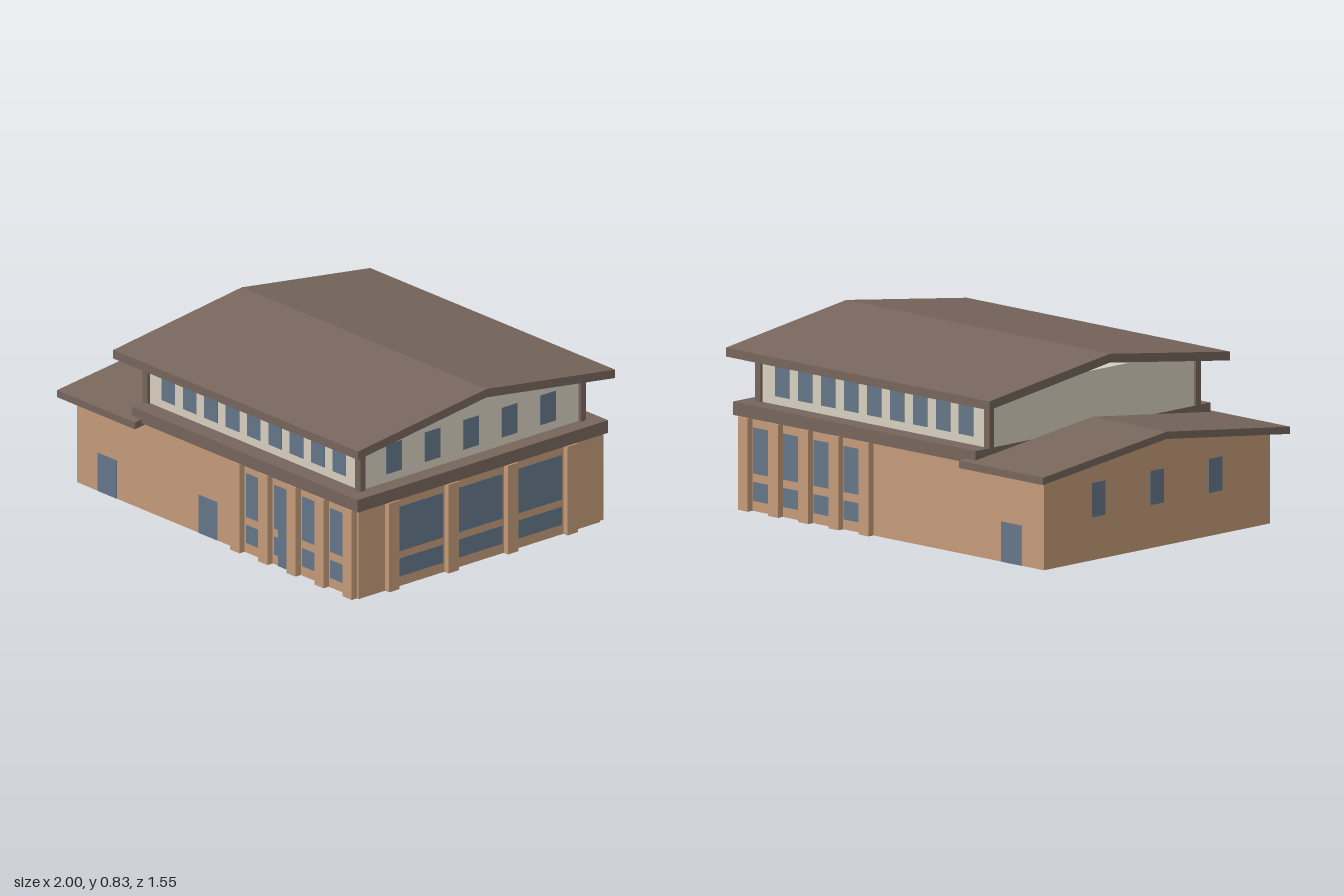
import * as THREE from 'three';

export function createModel() {
  const model = new THREE.Group();
  model.name = 'building';

  const material = (name, color) => {
    const m = new THREE.MeshStandardMaterial({ color, side: THREE.DoubleSide });
    m.name = name;
    return m;
  };
  const tan = material('tan wall', 0xc69d7a);
  const cream = material('cream wall', 0xdad2c2);
  const brown = material('brown roof', 0x78675d);
  const glass = material('blue glass', 0x66788a);

  const add = (name, geometry, mat) => {
    const mesh = new THREE.Mesh(geometry, mat);
    mesh.name = name;
    model.add(mesh);
    return mesh;
  };

  // Box given by its limits on each axis
  const box = (name, mat, x0, x1, y0, y1, z0, z1) =>
    add(name, new THREE.BoxGeometry(x1 - x0, y1 - y0, z1 - z0), mat)
      .position.set((x0 + x1) / 2, (y0 + y1) / 2, (z0 + z1) / 2);

  // Symmetric cross-section of [z, y] points, extruded along x
  const prism = (name, mat, points, x0, x1) => {
    const shape = new THREE.Shape(points.map(([z, y]) => new THREE.Vector2(z, y)));
    const geometry = new THREE.ExtrudeGeometry(shape, { depth: x1 - x0, bevelEnabled: false });
    geometry.rotateY(Math.PI / 2).translate(x0, 0, 0);
    add(name, geometry, mat);
  };

  // Folded roof slab with a ridge along x
  const roof = (name, x0, x1, z, eave, ridge, t) =>
    prism(name, brown, [[-z, eave - t], [0, ridge - t], [z, eave - t], [z, eave], [0, ridge], [-z, eave]], x0, x1);

  // Thin plates on walls facing +-z and +-x
  const plateZ = (name, side, wall, x0, x1, y0, y1, t = 0.002) =>
    box(name, glass, x0, x1, y0, y1, side * wall - t, side * wall + t);
  const plateX = (name, wall, z, w, y0, y1, t = 0.002) =>
    box(name, glass, wall - t, wall + t, y0, y1, z - w / 2, z + w / 2);

  const WX = 0.952, WZ = 0.711, LEFT = -0.94, SPLIT = -0.54, T = 0.003;

  // Lower hall and side wing, open underneath
  for (const s of [1, -1]) {
    const z0 = s > 0 ? WZ - T : -WZ;
    box('longWall', tan, LEFT, WX, 0, 0.428, z0, z0 + T);
  }
  box('rightWall', tan, WX - T, WX, 0, 0.428, -WZ, WZ);
  box('partitionWall', tan, SPLIT, SPLIT + T, 0, 0.428, -WZ, WZ);
  prism('wingGableWall', tan, [[-WZ, 0], [WZ, 0], [WZ, 0.425], [0, 0.51], [-WZ, 0.425]], LEFT, LEFT + T);

  // Pillars and tall windows on the front and back
  for (const s of [1, -1]) {
    for (let i = 0; i < 5; i++) {
      const x = 0.155 + i * 0.1885;
      const z = s * (WZ + 0.011);
      box('longSidePillar', tan, x - 0.031, x + 0.031, 0, 0.422, z - 0.02, z + 0.02);
      if (i === 4) continue;
      const w0 = 0.197 + i * 0.1885, w1 = w0 + 0.111;
      plateZ('lowerWindow', s, WZ, w0, w1, 0.046, 0.132);
      plateZ('tallWindow', s, WZ, w0, w1, 0.17, 0.378);
    }
    plateZ('wingDoor', s, WZ, -0.80, -0.673, 0, 0.182);
  }
  plateZ('hallDoor', 1, WZ, -0.123, 0.005, 0, 0.182);
  plateZ('entranceDoor', 1, WZ, 0.413, 0.505, 0, 0.182, 0.004);

  // Pillars and wide windows on the right end
  for (const z of [-0.525, -0.175, 0.175, 0.525])
    box('endPillar', tan, WX - 0.01, 0.98, 0, 0.422, z - 0.031, z + 0.031);
  for (const z of [-0.351, 0, 0.351]) {
    plateX('endLowerWindow', WX, z, 0.27, 0.046, 0.132);
    plateX('endTallWindow', WX, z, 0.27, 0.166, 0.378);
  }

  // Small windows on the wing end
  for (const z of [-0.367, 0, 0.367]) plateX('wingWindow', LEFT, z, 0.085, 0.195, 0.35);

  // Roof band as a frame around a raised ceiling
  const rectangle = (Type, x0, x1, z) => new Type([[x0, -z], [x1, -z], [x1, z], [x0, z]].map(p => new THREE.Vector2(...p)));
  const frame = rectangle(THREE.Shape, SPLIT, 0.975, 0.738);
  frame.holes.push(rectangle(THREE.Path, -0.5, 0.9, 0.66));
  const band = new THREE.ExtrudeGeometry(frame, { depth: 0.06, bevelEnabled: false });
  add('roofBand', band.rotateX(-Math.PI / 2).translate(0, 0.424, 0), brown);
  box('ceiling', brown, -0.5, 0.9, 0.478, 0.482, -0.66, 0.66);

  // Wing roof
  roof('wingRoof', -1, -0.477, 0.777, 0.437, 0.53, 0.033);

  // Upper storey with corner posts
  box('upperWalls', cream, -0.54, 0.895, 0.484, 0.74, -0.65, 0.65);
  for (const x of [-0.537, 0.893])
    for (const z of [-0.65, 0.65])
      box('cornerPost', brown, x - 0.017, x + 0.017, 0.484, 0.72, z - 0.015, z + 0.015);
  // Recessed fill between the wall tops and the roof
  prism('gableFill', brown, [[-0.38, 0.738], [0.38, 0.738], [0, 0.79]], -0.4, 0.75);

  // Clerestory windows on the front, back and right end
  for (const s of [1, -1])
    for (let i = 0; i < 9; i++) {
      const x = -0.395 + i * 0.1435;
      plateZ('upperWindow', s, 0.65, x - 0.045, x + 0.045, 0.522, 0.663);
    }
  for (let i = -2; i <= 2; i++) plateX('upperEndWindow', 0.895, i * 0.2265, 0.092, 0.522, 0.663);

  // Main roof
  roof('mainRoof', -0.645, 1, 0.757, 0.727, 0.83, 0.04);

  return model;
}
